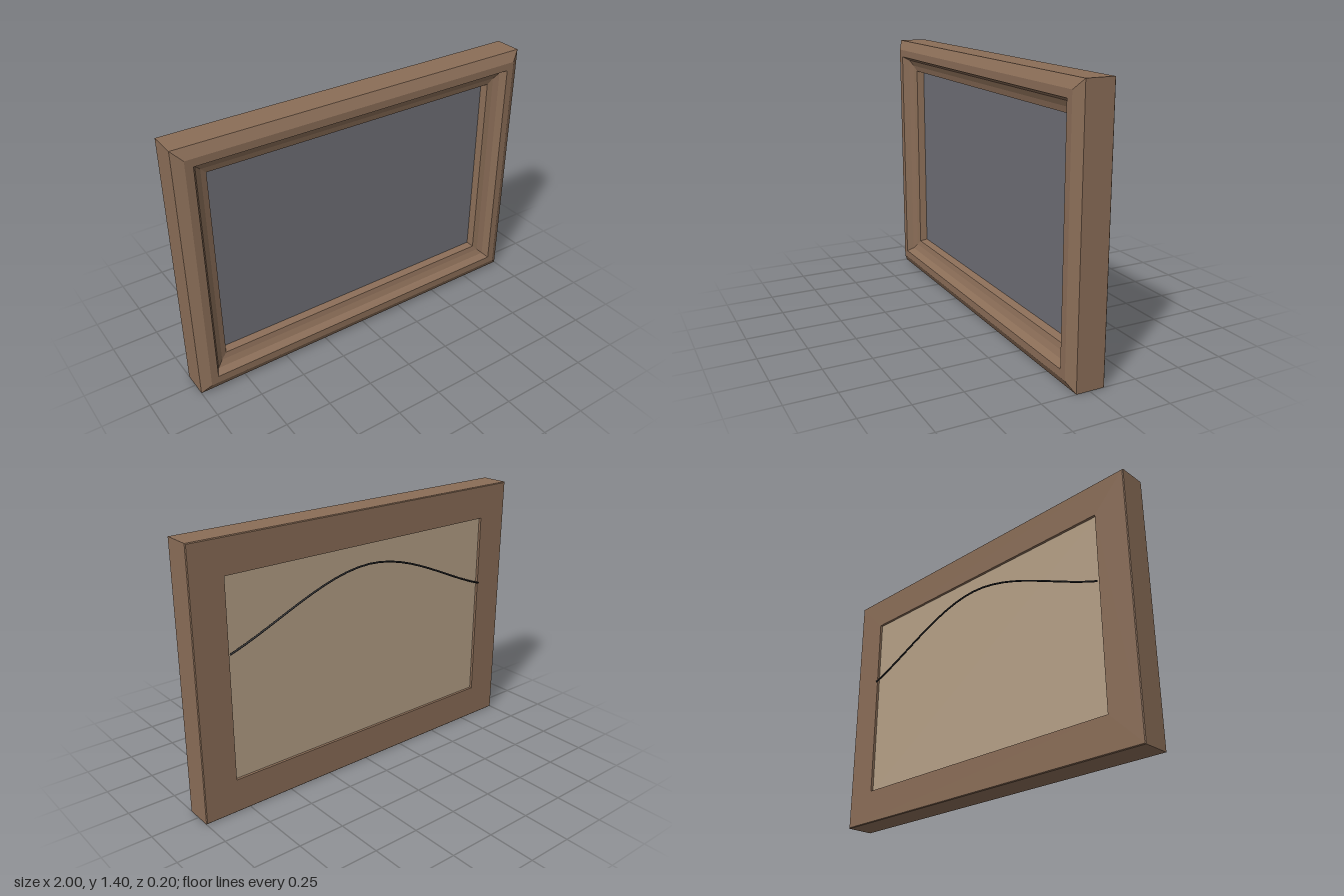
import * as THREE from 'three';

const wood = new THREE.MeshStandardMaterial({ color: 0x8a6d57 });
wood.name = 'wood';
const pictureGrey = new THREE.MeshStandardMaterial({ color: 0x6e6e75 });
pictureGrey.name = 'picture grey';
const backingTan = new THREE.MeshStandardMaterial({ color: 0xb5a086 });
backingTan.name = 'backing tan';
const wireBlack = new THREE.MeshStandardMaterial({ color: 0x222224 });
wireBlack.name = 'wire black';

const W = 1, H = 0.7; // half width and half height

// Moulding cross-section: [inset from outer edge, z], from outer back round to inner back
const PROFILE = [
  [0.004, -0.08], [0, -0.076], [0, 0.07], [0.05, 0.1], [0.09, 0.1],
  [0.11, 0.065], [0.14, 0.05], [0.17, 0.042], [0.18, 0], [0.18, -0.08],
];
const CORNERS = [[-1, -1], [1, -1], [1, 1], [-1, 1]];

// One mitred rail running between two neighbouring corners
function railGeometry(side) {
  const point = (corner, k) => {
    const [sx, sy] = CORNERS[corner % 4];
    const [inset, z] = PROFILE[k % PROFILE.length];
    return [sx * (W - inset), H + sy * (H - inset), z];
  };
  const positions = [];
  for (let k = 0; k < PROFILE.length; k++) {
    const a = point(side, k), b = point(side + 1, k);
    const c = point(side + 1, k + 1), d = point(side, k + 1);
    positions.push(...a, ...b, ...c, ...a, ...c, ...d);
  }
  const geometry = new THREE.BufferGeometry();
  geometry.setAttribute('position', new THREE.Float32BufferAttribute(positions, 3));
  geometry.computeVertexNormals();
  return geometry;
}

function addMesh(parent, name, geometry, material) {
  const mesh = new THREE.Mesh(geometry, material);
  mesh.name = name;
  parent.add(mesh);
  return mesh;
}

export function createModel() {
  const model = new THREE.Group();
  model.name = 'pictureFrame';

  // Moulded frame
  const frame = new THREE.Group();
  frame.name = 'frame';
  model.add(frame);
  ['bottomRail', 'leftRail', 'topRail', 'rightRail'].forEach((name, i) =>
    addMesh(frame, name, railGeometry(i), wood));

  // Picture, and the backing board behind it
  addMesh(model, 'picture', new THREE.BoxGeometry(1.64, 1.04, 0.008), pictureGrey)
    .position.set(0, H, -0.001);
  addMesh(model, 'backingBoard', new THREE.BoxGeometry(1.64, 1.04, 0.06), backingTan)
    .position.set(0, H, -0.036);

  // Hanging wire across the back
  const path = new THREE.CatmullRomCurve3([
    new THREE.Vector3(-0.82, 0.845, -0.087),
    new THREE.Vector3(0, 1.12, -0.095),
    new THREE.Vector3(0.82, 0.845, -0.087),
  ]);
  addMesh(model, 'hangingWire', new THREE.TubeGeometry(path, 24, 0.005, 8), wireBlack);

  return model;
}
